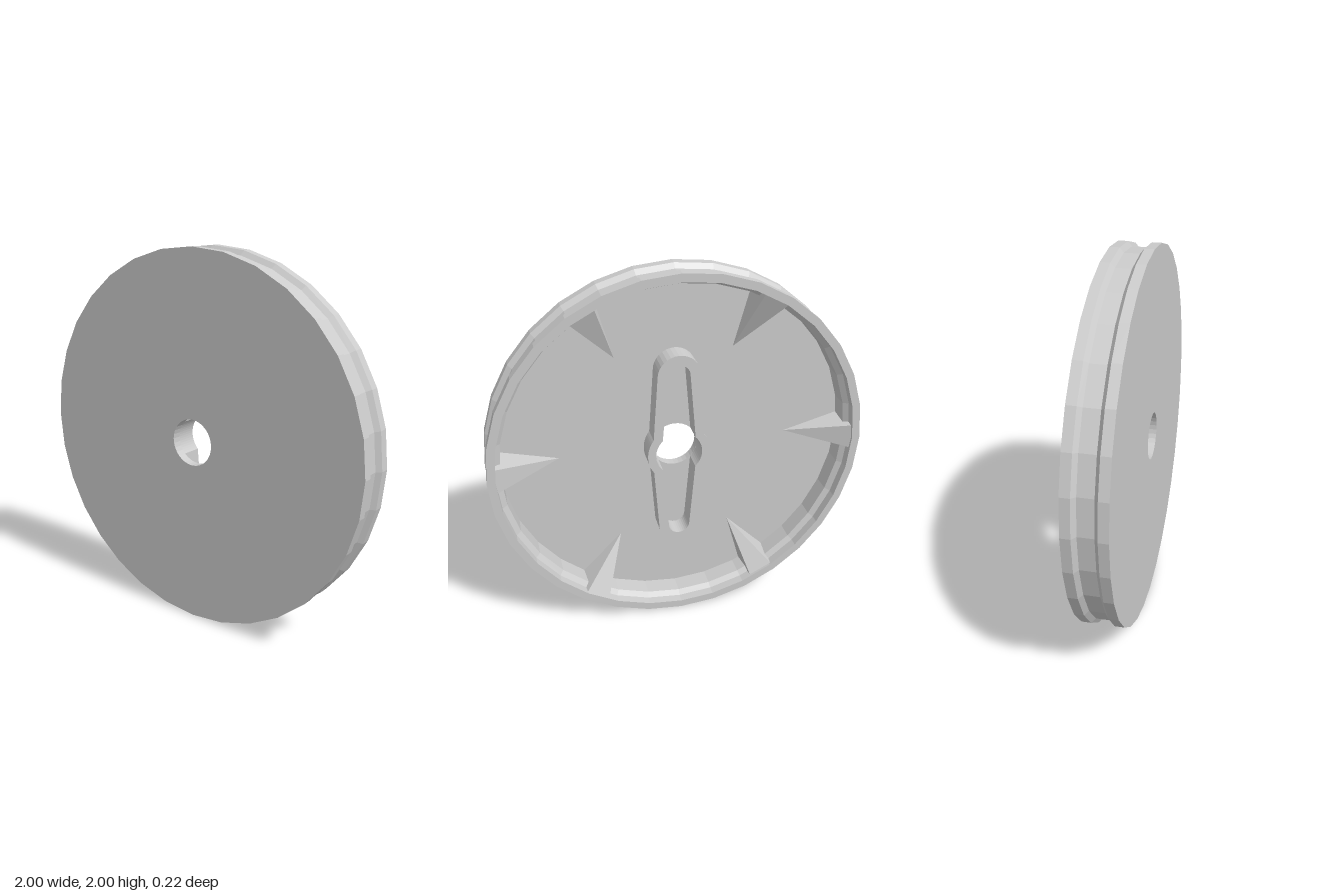
import * as THREE from 'three';
import { ConvexGeometry } from 'three/addons/geometries/ConvexGeometry.js';

const material = new THREE.MeshStandardMaterial({ color: 0xcccccc, flatShading: true });

// Closed outline: a round hub with a tapered, round-ended arm above and below
function traceSlot(path, hubRadius, hubAngle, endRadius) {
  const endY = 0.45;
  path.absarc(0, 0, hubRadius, -hubAngle, hubAngle);
  path.absarc(0, endY, endRadius, 0, Math.PI);
  path.absarc(0, 0, hubRadius, Math.PI - hubAngle, Math.PI + hubAngle);
  path.absarc(0, -endY, endRadius, Math.PI, 2 * Math.PI);
  path.closePath();
  return path;
}

export function createModel() {
  const group = new THREE.Group();
  const wheel = new THREE.Group();
  wheel.name = 'wheel';
  wheel.position.y = 1;
  group.add(wheel);

  const add = (name, geometry) => {
    const mesh = new THREE.Mesh(geometry, material);
    mesh.name = name;
    wheel.add(mesh);
    return mesh;
  };

  // Dished disc with a grooved rim, open at the back: [radius, z]
  const profile = [
    [0.957, -0.11], [1, -0.11], [1, -0.06], [0.975, -0.04], [0.975, 0.04], [1, 0.06],
    [1, 0.11], [0.125, 0.11], [0.125, 0.06], [0.93, 0.06], [0.93, -0.04], [0.957, -0.06],
    [0.957, -0.11],
  ].map(([r, z]) => new THREE.Vector2(r, z));
  add('grooved disc', new THREE.LatheGeometry(profile, 32)).rotation.x = Math.PI / 2;

  // Raised wall around the slot and axle hole
  const wall = traceSlot(new THREE.Shape(), 0.168, 0.62, 0.112);
  wall.holes.push(traceSlot(new THREE.Path(), 0.125, Math.PI / 4, 0.058));
  add('hub slot wall', new THREE.ExtrudeGeometry(wall, {
    depth: 0.11, bevelEnabled: false, curveSegments: 8,
  })).position.z = -0.05;

  // Six wedge ribs that taper from the rim down to the disc
  const rib = new ConvexGeometry([
    new THREE.Vector3(0.62, 0, 0.06),
    ...[-1, 1].flatMap((s) => [
      new THREE.Vector3(0.945, s * 0.085, 0.06),
      new THREE.Vector3(0.96, s * 0.07, -0.1),
    ]),
  ]);
  for (let i = 0; i < 6; i++) add('rim rib', rib).rotation.z = (i * Math.PI) / 3;

  return group;
}
